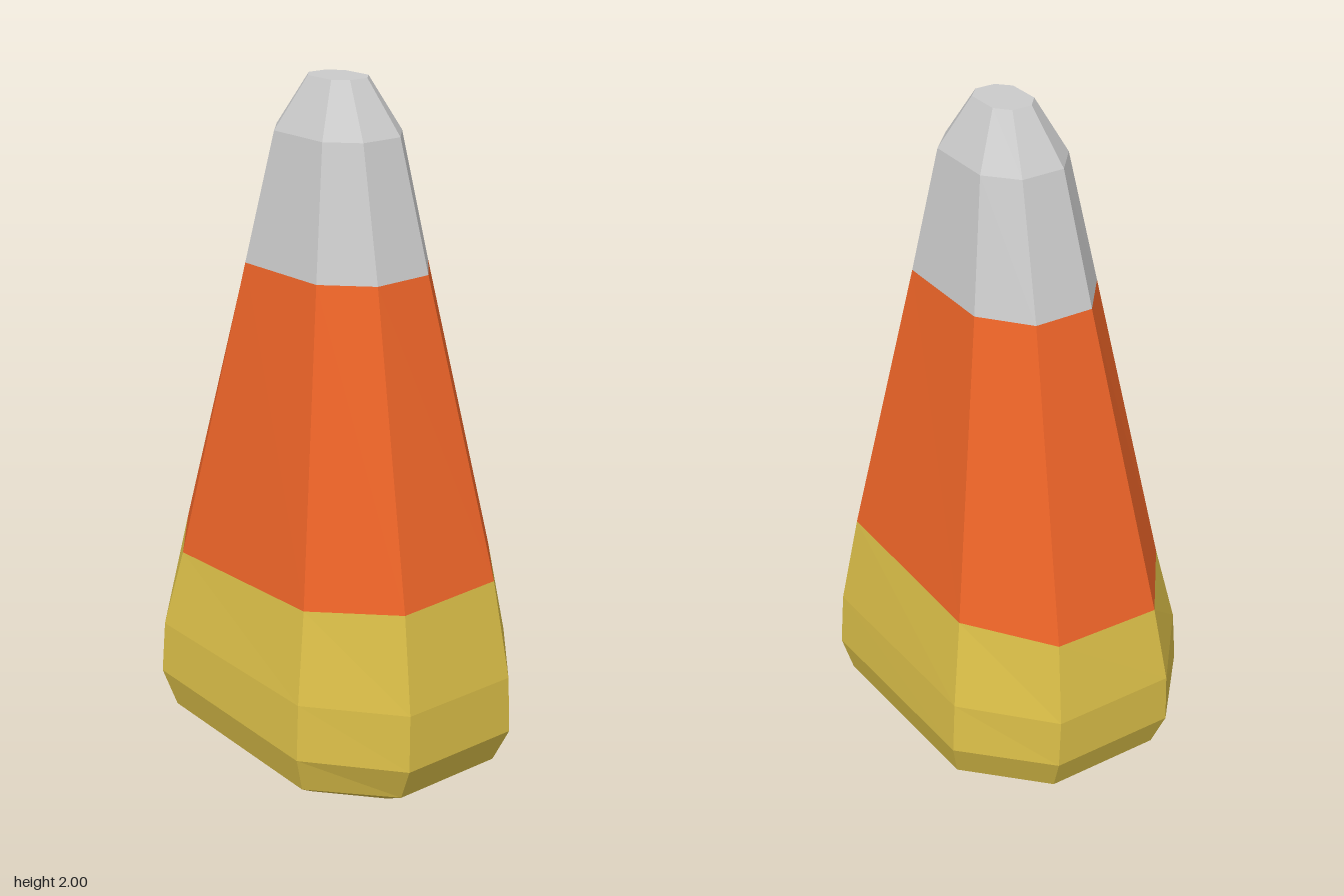
import * as THREE from 'three';

// Each ring is a stretched octagon:
// y, left x, left chamfer x, right chamfer x, right x, half depth, chamfer half depth, tilt along x, tilt along z
const ring = (y, xl, il, ir, xr, d, e, tx = 0, tz = 0) =>
  [[xr, e], [ir, d], [il, d], [xl, e], [xl, -e], [il, -d], [ir, -d], [xr, -e]]
    .map(([x, z]) => new THREE.Vector3(x, y + tx * x + tz * z, z));

const rings = [
  ring(0.022, -0.415, -0.24, 0.25, 0.41, 0.29, 0.14, -0.042),
  ring(0.085, -0.515, -0.30, 0.31, 0.51, 0.37, 0.175, -0.038),
  ring(0.193, -0.56, -0.33, 0.325, 0.56, 0.40, 0.19, -0.038),
  ring(0.353, -0.56, -0.325, 0.32, 0.555, 0.39, 0.185, -0.022),
  ring(0.61, -0.515, -0.285, 0.29, 0.505, 0.345, 0.165, 0.028, -0.03),
  ring(1.48, -0.28, -0.15, 0.168, 0.293, 0.2, 0.09, 0.01, -0.01),
  ring(1.85, -0.175, -0.09, 0.12, 0.2, 0.14, 0.065),
  ring(2, -0.075, -0.035, 0.065, 0.102, 0.065, 0.03),
];

// Skin a run of rings, with optional flat caps
function band(name, color, from, to, capBottom, capTop) {
  const pos = [];
  const tri = (...corners) => corners.forEach((v) => pos.push(v.x, v.y, v.z));
  for (let r = from; r < to; r++) {
    const lo = rings[r], hi = rings[r + 1];
    for (let i = 0; i < 8; i++) {
      const j = (i + 1) % 8;
      tri(lo[i], hi[j], lo[j]);
      tri(lo[i], hi[i], hi[j]);
    }
  }
  for (let i = 1; i < 7; i++) {
    const b = rings[from], t = rings[to];
    if (capBottom) tri(b[0], b[i], b[i + 1]);
    if (capTop) tri(t[0], t[i + 1], t[i]);
  }
  const geometry = new THREE.BufferGeometry();
  geometry.setAttribute('position', new THREE.Float32BufferAttribute(pos, 3));
  geometry.computeVertexNormals();
  const mesh = new THREE.Mesh(geometry, new THREE.MeshStandardMaterial({ color, flatShading: true }));
  mesh.name = name;
  return mesh;
}

export function createModel() {
  const group = new THREE.Group();
  group.name = 'candyCorn';
  group.add(
    band('yellowBase', 0xdabe48, 0, 4, true, false),
    band('orangeMiddle', 0xed6428, 4, 5, false, false),
    band('paleTip', 0xcccccc, 5, 7, false, true),
  );
  return group;
}
